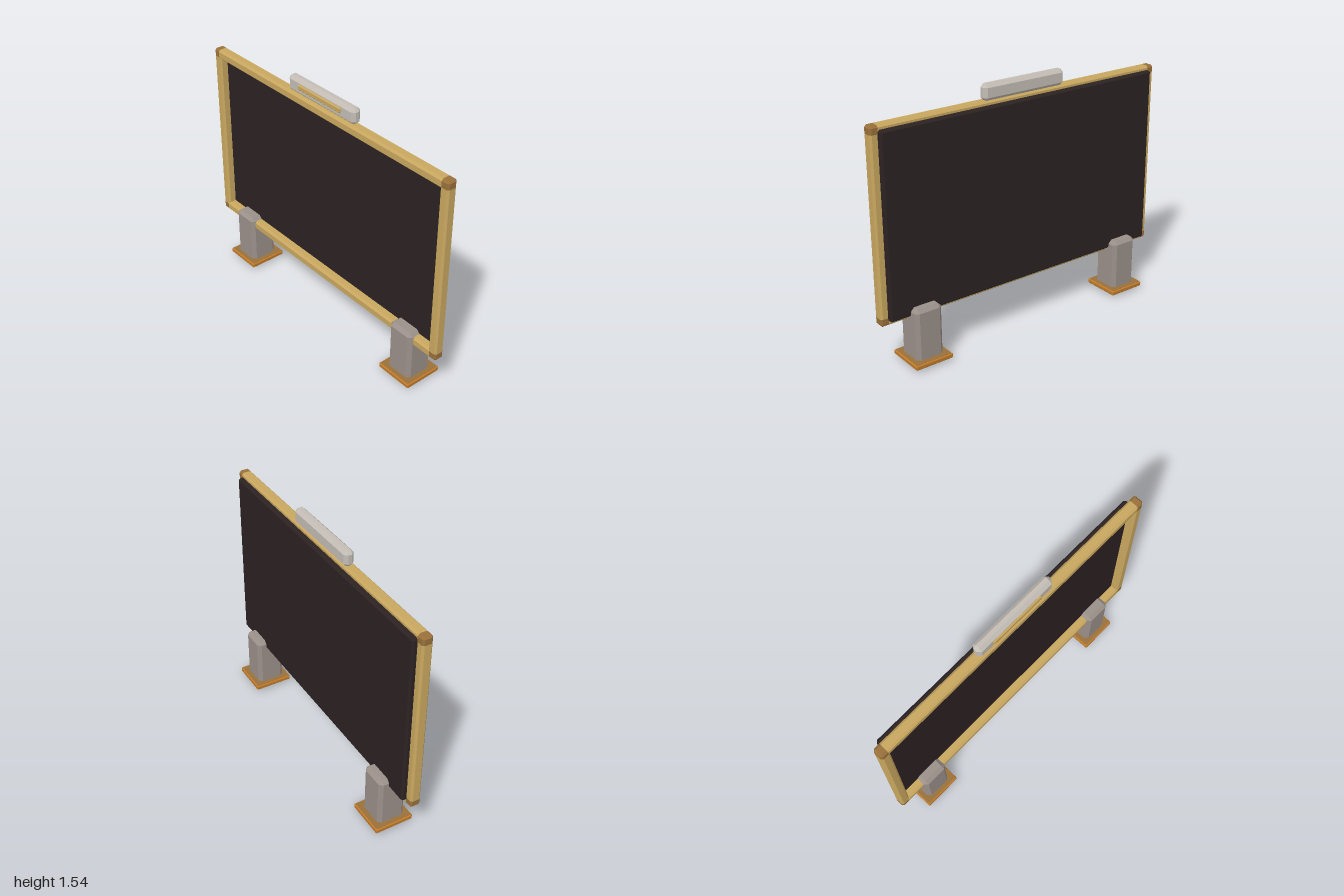
import * as THREE from 'three';
import { ConvexGeometry } from 'three/addons/geometries/ConvexGeometry.js';

const mat = (name, color) => {
  const m = new THREE.MeshStandardMaterial({ color });
  m.name = name;
  return m;
};

// Box with every edge cut at 45 degrees
function chamferBox(w, h, d, c) {
  const points = [];
  const x = w / 2, y = h / 2, z = d / 2;
  for (const sx of [-1, 1]) for (const sy of [-1, 1]) for (const sz of [-1, 1]) {
    points.push(
      new THREE.Vector3(sx * x, sy * (y - c), sz * (z - c)),
      new THREE.Vector3(sx * (x - c), sy * y, sz * (z - c)),
      new THREE.Vector3(sx * (x - c), sy * (y - c), sz * z));
  }
  return new ConvexGeometry(points);
}

// Straight bar along x with cut long edges and square ends
function chamferBar(length, h, d, c) {
  const points = [];
  for (const sx of [-1, 1]) for (const sy of [-1, 1]) for (const sz of [-1, 1]) {
    points.push(
      new THREE.Vector3(sx * length / 2, sy * h / 2, sz * (d / 2 - c)),
      new THREE.Vector3(sx * length / 2, sy * (h / 2 - c), sz * d / 2));
  }
  return new ConvexGeometry(points);
}

export function createModel() {
  const gold = mat('gold', 0xc9a75f);
  const brown = mat('brown', 0x99703a);
  const black = mat('black', 0x2c2222);
  const grey = mat('warm grey', 0x9b908a);
  const lightGrey = mat('light grey', 0xc3bdb5);
  const orange = mat('orange', 0xc07a2a);

  const model = new THREE.Group();
  const add = (name, geometry, material, x, y, z) => {
    const mesh = new THREE.Mesh(geometry, material);
    mesh.name = name;
    mesh.position.set(x, y, z);
    model.add(mesh);
    return mesh;
  };

  // Frame: four bars joined by corner blocks
  const bottom = 0.285, top = 1.45, bar = 0.06, depth = 0.066, cut = 0.012;
  const midY = (bottom + top) / 2, height = top - bottom, zFrame = depth / 2;
  const inset = 2 * (bar - cut);
  for (const s of [-1, 1]) {
    add(s > 0 ? 'topBar' : 'bottomBar', chamferBar(2 - inset, bar, depth, cut), gold,
      0, midY + s * (height - bar) / 2, zFrame);
    const side = add(s > 0 ? 'leftBar' : 'rightBar', chamferBar(height - inset, bar, depth, cut), gold,
      s * (1 - bar / 2), midY, zFrame);
    side.rotation.z = Math.PI / 2;
    for (const t of [-1, 1]) {
      add('frameCorner', chamferBox(bar, bar, depth, cut), brown,
        s * (1 - bar / 2), midY + t * (height - bar) / 2, zFrame);
    }
  }

  // Dark board, recessed in front and standing proud behind
  add('board', chamferBox(1.91, 1.115, 0.045, 0.012), black, 0, 1.3675 - 0.5, -0.0065);

  // Top unit with its slim front strip
  add('topUnit', chamferBox(0.564, 0.098, 0.064, 0.02), lightGrey, 0, 1.496, 0.025);
  add('topUnitStrip', chamferBox(0.362, 0.034, 0.02, 0.006), gold, 0, 1.503, 0.057);

  // Feet: post through a square plate
  for (const s of [-1, 1]) {
    add('footPost', chamferBox(0.176, 0.365, 0.176, 0.022), grey, s * 0.738, 0.1825, 0.002);
    add('footPlate', chamferBox(0.246, 0.03, 0.246, 0.006), orange, s * 0.738, 0.03, 0);
    add('footPlateTop', new THREE.BoxGeometry(0.23, 0.002, 0.23), brown, s * 0.738, 0.0455, 0);
  }
  return model;
}
